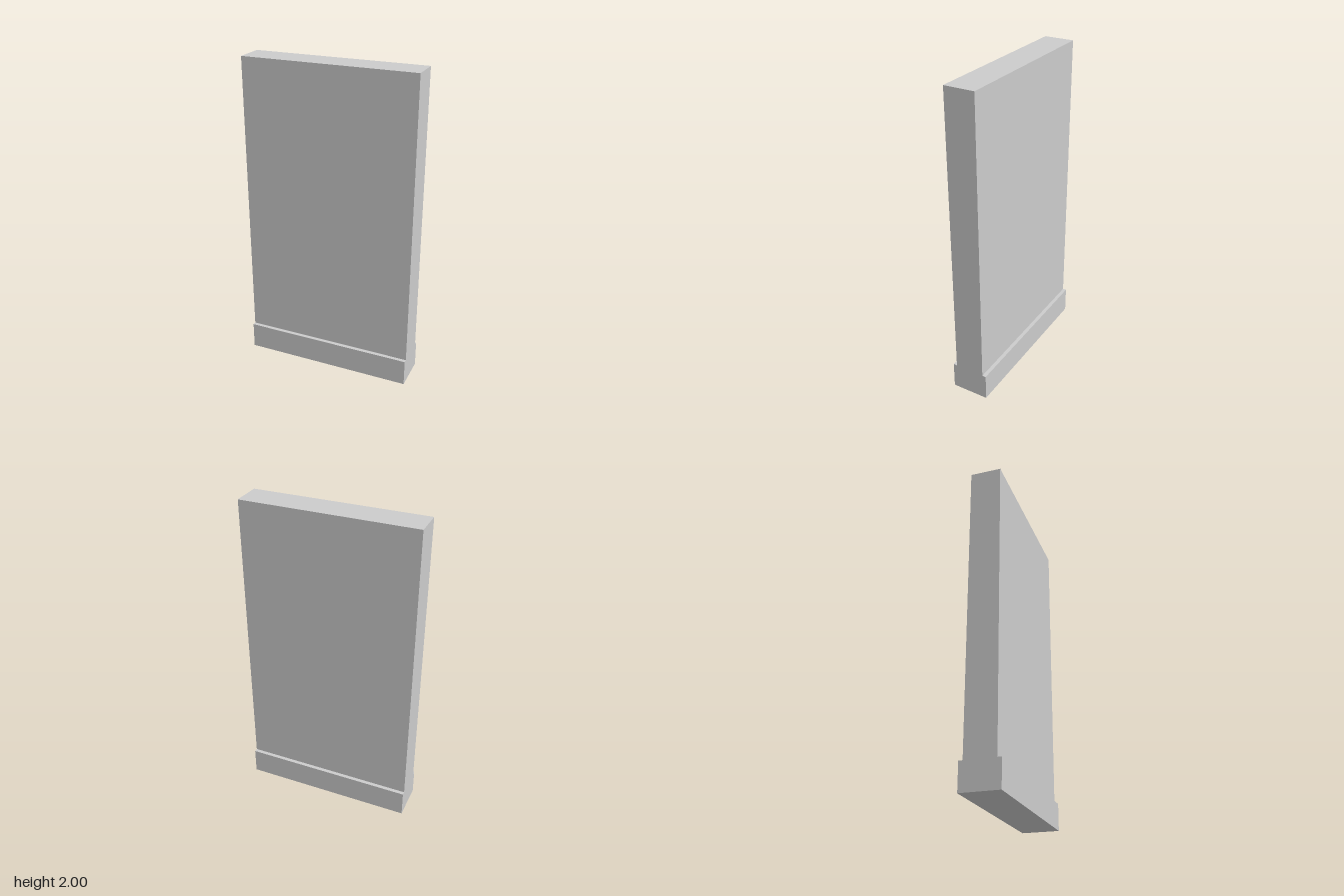
import * as THREE from 'three';

const WIDTH = 1.09;        // along x
const HEIGHT = 2;
const WALL_HALF = 0.095;   // half thickness of the wall
const BASE_HALF = 0.119;   // half thickness of the skirting
const BASE_HEIGHT = 0.17;

export function createModel() {
  const model = new THREE.Group();
  model.name = 'wallPanel';

  // Half of the cross-section, mirrored to give the stepped profile
  const half = [[BASE_HALF, 0], [BASE_HALF, BASE_HEIGHT], [WALL_HALF, BASE_HEIGHT], [WALL_HALF, HEIGHT]];
  const mirrored = half.map(([d, y]) => [-d, y]).reverse();
  const profile = new THREE.Shape([...half, ...mirrored].map(([d, y]) => new THREE.Vector2(d, y)));

  // Wall and skirting as one solid, swept along the width
  const geometry = new THREE.ExtrudeGeometry(profile, { depth: WIDTH, bevelEnabled: false });
  geometry.translate(0, 0, -WIDTH / 2);
  geometry.rotateY(Math.PI / 2);

  const wall = new THREE.Mesh(geometry, new THREE.MeshStandardMaterial({ color: 0xcccccc }));
  wall.name = 'wallWithSkirting';
  model.add(wall);
  return model;
}
